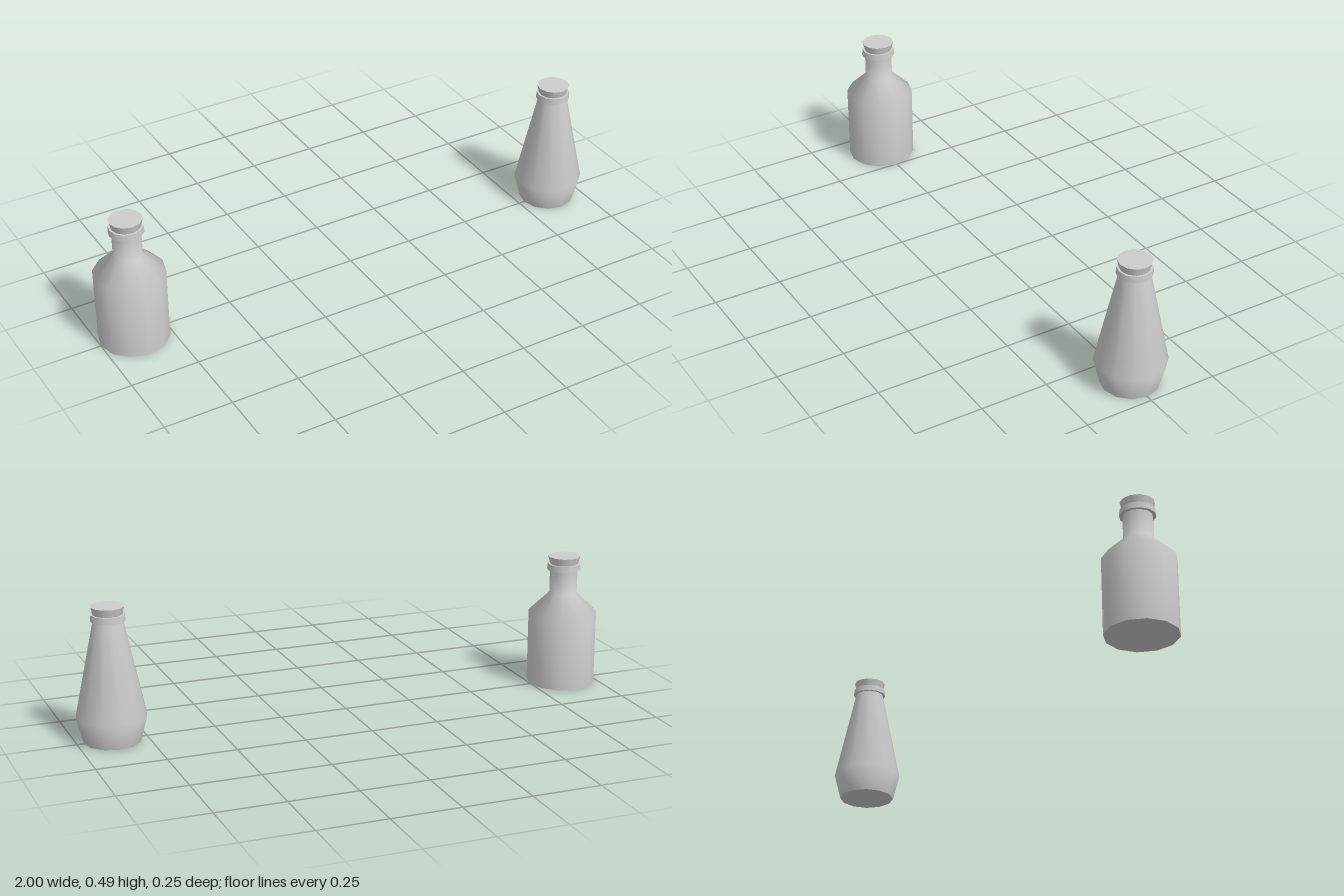
import * as THREE from 'three';

const SIDES = 12;
const glass = new THREE.MeshStandardMaterial({ color: 0xcccccc });

function addMesh(parent, name, geometry, y = 0) {
  const mesh = new THREE.Mesh(geometry, glass);
  mesh.name = name;
  mesh.position.y = y;
  parent.add(mesh);
  return mesh;
}

// One stoppered bottle; the profile lists [radius, height] from base to mouth
function makeBottle(name, x, profile) {
  const bottle = new THREE.Group();
  bottle.name = name;
  bottle.position.x = x;

  // Turned body and its flat base
  const points = profile.map(([r, y]) => new THREE.Vector2(r, y));
  addMesh(bottle, 'body', new THREE.LatheGeometry(points, SIDES));
  const base = addMesh(bottle, 'base', new THREE.CircleGeometry(profile[0][0], SIDES));
  base.rotation.x = Math.PI / 2;

  // Lip ring around the mouth, then the flared stopper
  addMesh(bottle, 'lipRing', new THREE.CylinderGeometry(0.06, 0.062, 0.023, SIDES), 0.4475);
  addMesh(bottle, 'stopper', new THREE.CylinderGeometry(0.059, 0.051, 0.034, SIDES), 0.47);
  return bottle;
}

export function createModel() {
  const model = new THREE.Group();
  model.name = 'bottlePair';
  model.add(
    makeBottle('shoulderedBottle', -0.874, [[0.126, 0], [0.126, 0.275], [0.051, 0.347], [0.051, 0.44]]),
    makeBottle('taperedBottle', 0.874, [[0.102, 0], [0.126, 0.093], [0.052, 0.44]])
  );
  return model;
}
